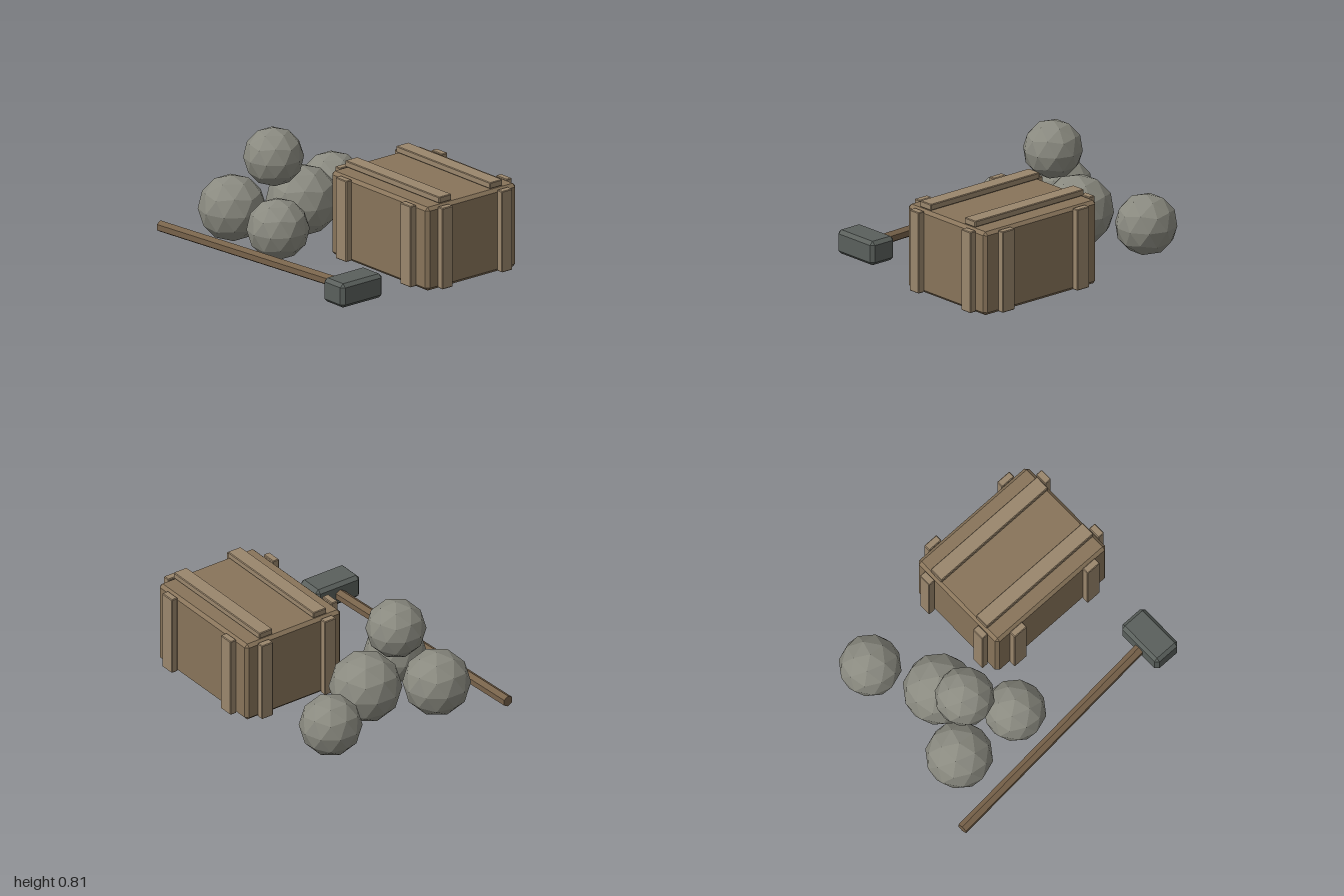
import * as THREE from 'three';
import { ConvexGeometry } from 'three/addons/geometries/ConvexGeometry.js';

const material = (color) => new THREE.MeshStandardMaterial({ color, flatShading: true });

// Box with a single flat chamfer along every edge
function chamferBox(w, h, d, b) {
  const [x, y, z] = [w / 2, h / 2, d / 2];
  const points = [];
  for (const i of [-1, 1]) for (const j of [-1, 1]) for (const k of [-1, 1]) {
    points.push(
      new THREE.Vector3(i * x, j * (y - b), k * (z - b)),
      new THREE.Vector3(i * (x - b), j * y, k * (z - b)),
      new THREE.Vector3(i * (x - b), j * (y - b), k * z));
  }
  return new ConvexGeometry(points);
}

function add(parent, name, geometry, mat, x, y, z) {
  const mesh = new THREE.Mesh(geometry, mat);
  mesh.name = name;
  mesh.position.set(x, y, z);
  parent.add(mesh);
  return mesh;
}

function createCrate() {
  const crate = new THREE.Group();
  crate.name = 'crate';
  crate.position.set(0.443, 0, -0.338);
  const wood = material(0x88745a), slatWood = material(0x9a866c);
  add(crate, 'crateBody', chamferBox(0.995, 0.586, 0.785, 0.022), wood, 0, 0.296, 0);

  const lidSlat = chamferBox(0.965, 0.044, 0.108, 0.005);
  const wideSlat = chamferBox(0.11, 0.57, 0.05, 0.005);
  const endSlat = chamferBox(0.052, 0.57, 0.092, 0.005);
  for (const s of [-1, 1]) {
    add(crate, 'lidSlat', lidSlat, slatWood, 0, 0.617, s * 0.222);
    // two upright slats on each of the four walls
    for (const t of [-1, 1]) {
      add(crate, 'wallSlat', wideSlat, slatWood, s * 0.33, 0.3, t * 0.417);
      add(crate, 'endSlat', endSlat, slatWood, t * 0.526, 0.3, s * 0.259);
    }
  }
  return crate;
}

function createStones() {
  const stones = new THREE.Group();
  stones.name = 'stones';
  const stone = material(0x8a8a80);
  // faceted ball standing on one of its vertices
  const ball = new THREE.IcosahedronGeometry(1, 1);
  ball.rotateX(-Math.atan((1 + Math.sqrt(5)) / 2));
  ball.rotateY(Math.PI / 2);
  // x, y, z, radius
  const layout = [
    [-0.475, 0.608, 0.19, 0.203],
    [-0.69, 0.231, 0.368, 0.229],
    [-0.2, 0.217, 0.385, 0.211],
    [-0.475, 0.245, -0.06, 0.245],
    [-0.688, 0.212, -0.503, 0.212],
  ];
  for (const [x, y, z, r] of layout) add(stones, 'stoneBall', ball, stone, x, y, z).scale.setScalar(r);
  return stones;
}

function createHammer() {
  const hammer = new THREE.Group();
  hammer.name = 'hammer';
  add(hammer, 'hammerHead', chamferBox(0.207, 0.168, 0.36, 0.024), material(0x5a605c), 0.821, 0.128, 0.599);

  // six-sided shaft, edge upward, running into the head
  const end = new THREE.Vector3(-0.998, 0.1, 0.73), top = new THREE.Vector3(0.82, 0.127, 0.598);
  const shaft = new THREE.CylinderGeometry(0.04, 0.04, end.distanceTo(top), 6);
  shaft.rotateX(Math.PI / 2);
  const mid = end.clone().lerp(top, 0.5);
  add(hammer, 'hammerHandle', shaft, material(0x77624a), mid.x, mid.y, mid.z).lookAt(top);
  return hammer;
}

export function createModel() {
  const model = new THREE.Group();
  model.name = 'crateStonesAndHammer';
  model.add(createCrate(), createStones(), createHammer());
  return model;
}
